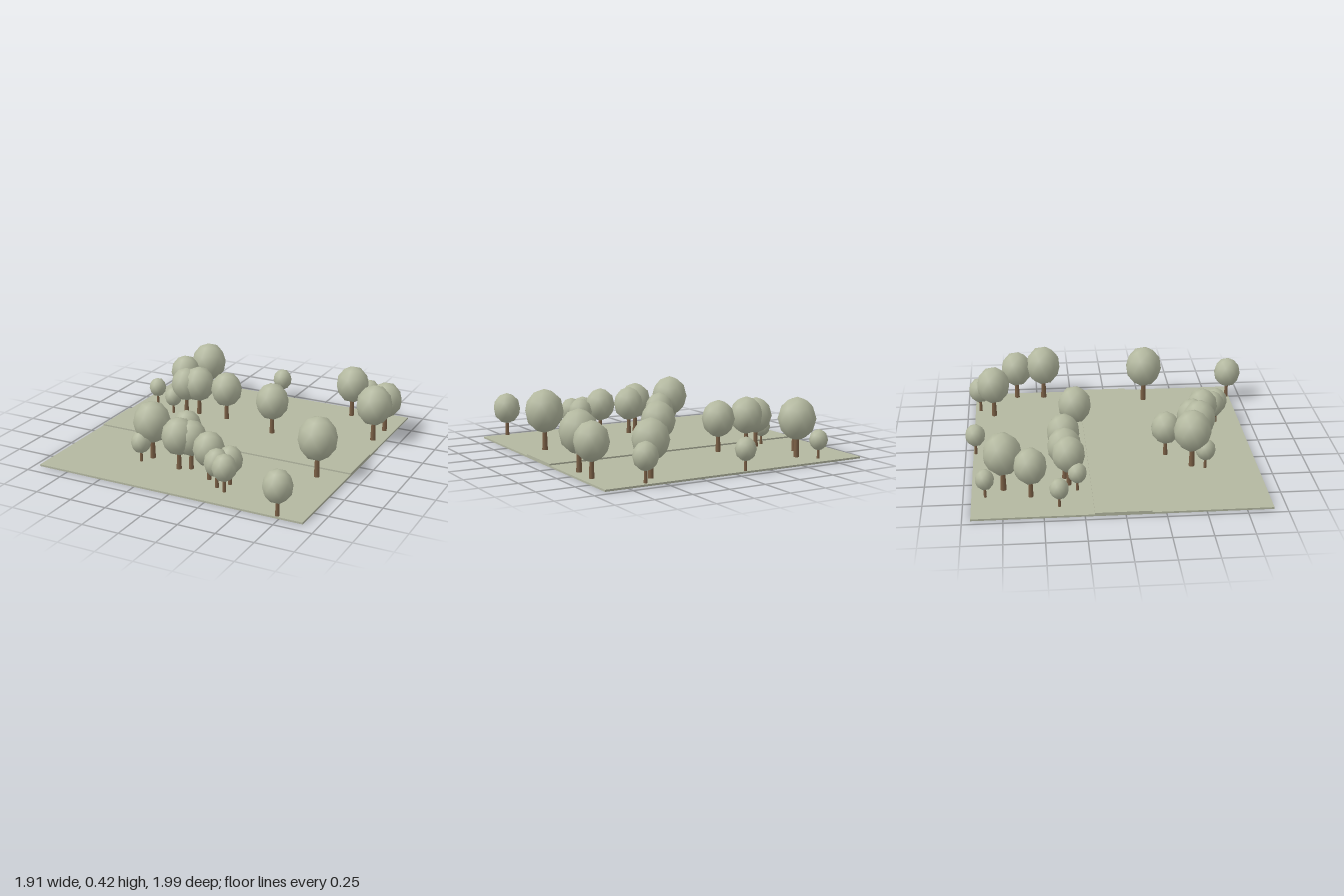
import * as THREE from 'three';

const GROUND_TOP = 0.012;

// x, z, crown radius of every tree
const TREES = [
  // far side of the strip
  [-0.075, -0.93, 0.068], [-0.685, -0.86, 0.061], [-0.595, -0.746, 0.125],
  [-0.7, -0.575, 0.106], [-0.84, -0.402, 0.061], [-0.64, -0.28, 0.061],
  [-0.56, -0.33, 0.107], [-0.468, -0.352, 0.112], [-0.246, -0.35, 0.11],
  [0.156, -0.254, 0.115], [0.617, -0.91, 0.08], [0.527, -0.812, 0.117],
  [0.838, -0.645, 0.112], [0.826, -0.45, 0.125],
  // near side of the strip
  [0.722, 0.28, 0.13], [0.733, 0.9, 0.095], [-0.188, 0.333, 0.098],
  [-0.362, 0.487, 0.125], [-0.4, 0.57, 0.066], [-0.05, 0.53, 0.106],
  [-0.12, 0.566, 0.112], [0.13, 0.625, 0.103], [0.23, 0.71, 0.083],
  [0.283, 0.635, 0.083], [0.3, 0.747, 0.08],
];

function flat(name, color) {
  const m = new THREE.MeshStandardMaterial({ color });
  m.name = name;
  return m;
}

function slab(name, material, x0, x1, y0, y1, z0, z1) {
  const mesh = new THREE.Mesh(new THREE.BoxGeometry(x1 - x0, y1 - y0, z1 - z0), material);
  mesh.position.set((x0 + x1) / 2, (y0 + y1) / 2, (z0 + z1) / 2);
  mesh.name = name;
  return mesh;
}

export function createModel() {
  const model = new THREE.Group();
  model.name = 'treePlot';

  const groundMat = flat('pale sage ground', 0xb3b7a0);
  const leafMat = flat('sage leaves', 0xb3b89f);
  const barkMat = flat('brown bark', 0x7a5f45);

  // Ground plate and the raised strip crossing it
  model.add(slab('ground', groundMat, -0.96, 0.905, 0, GROUND_TOP, -0.947, 0.918));
  model.add(slab('roadStrip', groundMat, -0.96, 0.905, GROUND_TOP, 0.022, -0.19, 0.16));

  // Unit crown: smooth icosphere with a vertex pointing up, slightly tall
  const crownGeo = new THREE.IcosahedronGeometry(1, 1);
  crownGeo.rotateX(-Math.atan((1 + Math.sqrt(5)) / 2));
  crownGeo.scale(1, 1.14, 1);
  crownGeo.translate(0, 2.02, 0);

  // Unit trunk: tapered, running up into the crown
  const trunkGeo = new THREE.CylinderGeometry(0.1, 0.155, 1.6, 8);
  trunkGeo.translate(0, 0.8, 0);

  TREES.forEach(([x, z, r]) => {
    const tree = new THREE.Group();
    tree.name = 'tree';
    const trunk = new THREE.Mesh(trunkGeo, barkMat);
    trunk.name = 'trunk';
    const crown = new THREE.Mesh(crownGeo, leafMat);
    crown.name = 'crown';
    tree.add(trunk, crown);
    tree.position.set(x, GROUND_TOP, z);
    tree.scale.setScalar(r);
    model.add(tree);
  });

  return model;
}
